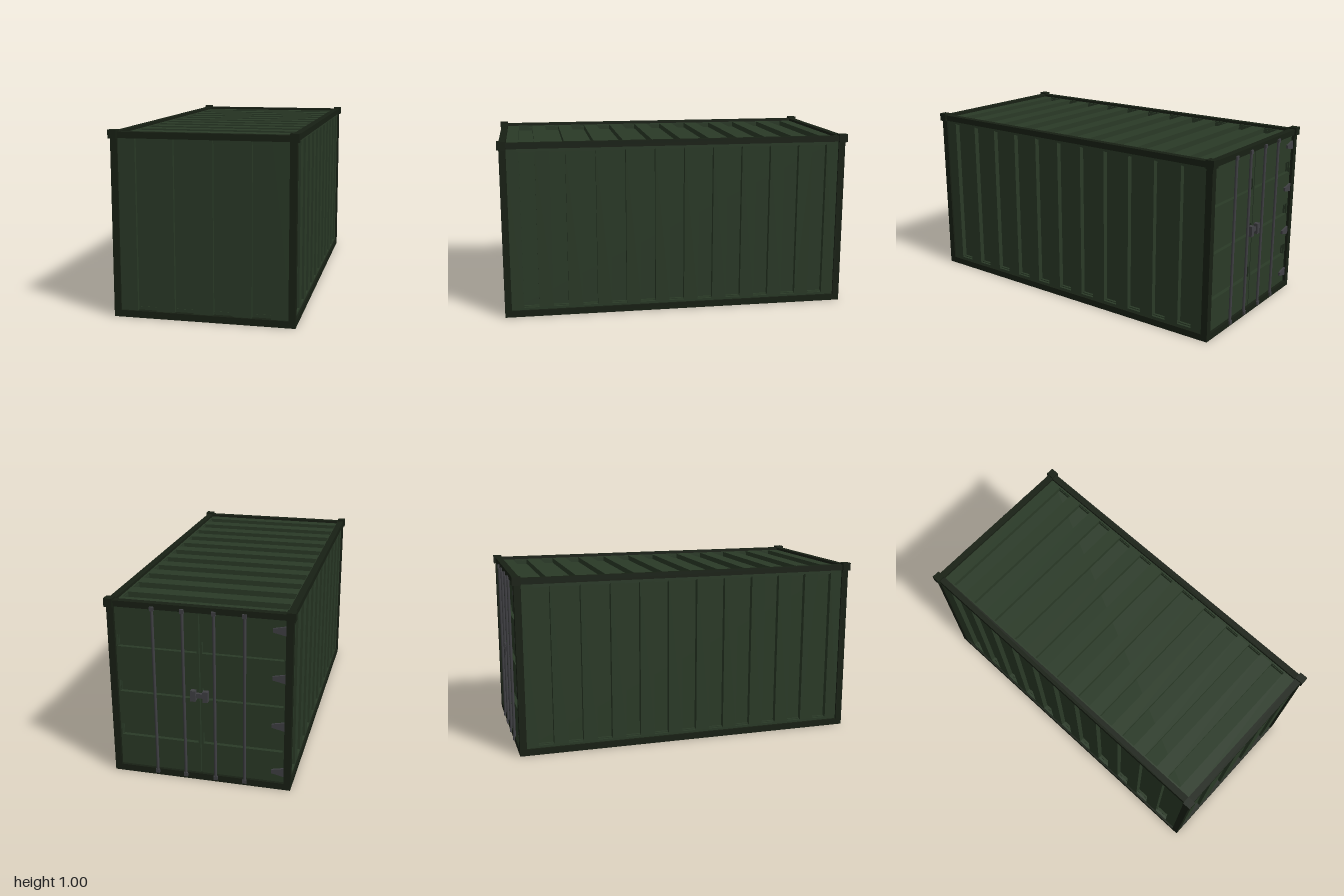
import * as THREE from 'three';

const green = new THREE.MeshStandardMaterial({ color: 0x2a3a27 });
const dark = new THREE.MeshStandardMaterial({ color: 0x182014 });
const steel = new THREE.MeshStandardMaterial({ color: 0x404044 });

export function createModel() {
  const root = new THREE.Group();
  root.name = 'shippingContainer';

  const add = (parent, name, geometry, material, x = 0, y = 0, z = 0) => {
    const mesh = new THREE.Mesh(geometry, material);
    mesh.name = name;
    mesh.position.set(x, y, z);
    parent.add(mesh);
    return mesh;
  };
  // Box given by its low and high corners
  const box = (parent, name, material, a, b) => add(parent, name,
    new THREE.BoxGeometry(b[0] - a[0], b[1] - a[1], b[2] - a[2]), material,
    (a[0] + b[0]) / 2, (a[1] + b[1]) / 2, (a[2] + b[2]) / 2);

  const trace = (path, [x0, y0, x1, y1]) => {
    path.moveTo(x0, y0);
    path.lineTo(x1, y0);
    path.lineTo(x1, y1);
    path.lineTo(x0, y1);
    path.closePath();
    return path;
  };
  // Corrugated sheet: pierced outer plate over a backing plate; local z = 0 is the outer face
  const panel = (name, w, h, recesses, depth) => {
    const group = new THREE.Group();
    group.name = name;
    const shape = trace(new THREE.Shape(), [-w / 2, -h / 2, w / 2, h / 2]);
    recesses.forEach(r => shape.holes.push(trace(new THREE.Path(), r)));
    add(group, name + 'Corrugation',
      new THREE.ExtrudeGeometry(shape, { depth, bevelEnabled: false }), green, 0, 0, -depth);
    box(group, name + 'Backing', green, [-w / 2, -h / 2, -depth - 0.01], [w / 2, h / 2, -depth]);
    root.add(group);
    return group;
  };

  // Recess positions along the length, shared by sides, roof and floor
  const stations = Array.from({ length: 11 }, (_, i) => -0.838 + i * 0.1676);

  // Side walls
  for (const s of [1, -1]) {
    const side = panel(s > 0 ? 'leftWall' : 'rightWall', 1.92, 0.94,
      stations.map(c => [c - 0.043, -0.448, c + 0.043, 0.447]), 0.03);
    side.rotation.y = s * Math.PI / 2;
    side.scale.x = 1;
    side.position.set(s * 0.48, 0.498, 0);
  }

  // Roof and floor
  const acrossRecesses = stations.map(c => [-0.443, c - 0.043, 0.443, c + 0.043]);
  const roof = panel('roof', 0.93, 1.92, acrossRecesses, 0.03);
  roof.rotation.x = -Math.PI / 2;
  roof.position.y = 0.978;
  const floor = panel('floor', 0.93, 1.92, acrossRecesses, 0.03);
  floor.rotation.x = Math.PI / 2;
  floor.position.y = 0.015;

  // Front wall with four upright recesses
  const front = panel('frontWall', 0.93, 0.94,
    [-0.31, -0.105, 0.105, 0.31].map(c => [c - 0.051, -0.465, c + 0.051, 0.465]), 0.02);
  front.position.set(0, 0.498, 0.978);

  // Pair of doors, each with three level recesses
  for (const s of [1, -1]) {
    const door = panel(s > 0 ? 'leftDoor' : 'rightDoor', 0.452, 0.93,
      [-0.25, 0.01, 0.27].map(c => [-0.215, c - 0.033, 0.215, c + 0.033]), 0.022);
    door.rotation.y = Math.PI;
    door.position.set(s * 0.229, 0.498, -0.972);
  }

  // Frame: posts, long rails, cross rails and top corner blocks
  const frame = new THREE.Group();
  frame.name = 'frame';
  root.add(frame);
  for (const s of [1, -1]) {
    const x0 = s > 0 ? 0.453 : -0.49, x1 = x0 + 0.037;
    box(frame, 'topSideRail', dark, [x0, 0.96, -0.987], [x1, 0.993, 0.987]);
    box(frame, 'bottomSideRail', dark, [x0, 0, -0.987], [x1, 0.037, 0.987]);
    const z0 = s > 0 ? 0.95 : -0.988, z1 = z0 + 0.038;
    box(frame, 'topEndRail', dark, [-0.455, 0.96, z0], [0.455, 0.993, z1]);
    box(frame, 'bottomEndRail', dark, [-0.455, 0, z0], [0.455, 0.037, z1]);
    for (const t of [1, -1]) {
      const p0 = t > 0 ? 0.95 : -0.988;
      box(frame, 'cornerPost', dark, [x0, 0, p0], [x1, 0.98, p0 + 0.038]);
      add(frame, 'cornerBlock', new THREE.BoxGeometry(0.046, 0.046, 0.048), dark,
        s * 0.477, 0.98, t * 0.974);
    }
  }

  // Locking rods with end keepers
  const hardware = new THREE.Group();
  hardware.name = 'doorHardware';
  root.add(hardware);
  for (const x of [-0.243, -0.083, 0.083, 0.243]) {
    add(hardware, 'lockingRod', new THREE.CylinderGeometry(0.008, 0.008, 0.95, 10), steel, x, 0.495, -0.989);
    for (const y of [0.025, 0.965])
      add(hardware, 'rodKeeper', new THREE.BoxGeometry(0.022, 0.022, 0.014), steel, x, y, -0.991);
  }

  // Latch handles at the door seam
  for (const s of [1, -1])
    add(hardware, 'latchPlate', new THREE.BoxGeometry(0.028, 0.06, 0.026), steel, s * 0.033, 0.5, -0.985);
  add(hardware, 'latchBar', new THREE.BoxGeometry(0.05, 0.025, 0.016), steel, 0, 0.5, -0.98);

  // Tapered hinge plates
  const hinge = new THREE.Shape();
  hinge.moveTo(0, -0.025);
  hinge.lineTo(0.07, -0.01);
  hinge.lineTo(0.07, 0.01);
  hinge.lineTo(0, 0.025);
  hinge.closePath();
  const hingeGeometry = new THREE.ExtrudeGeometry(hinge, { depth: 0.012, bevelEnabled: false });
  for (const y of [0.1, 0.37, 0.64, 0.9])
    add(hardware, 'hinge', hingeGeometry, steel, -0.455, y, -0.983);

  return root;
}
